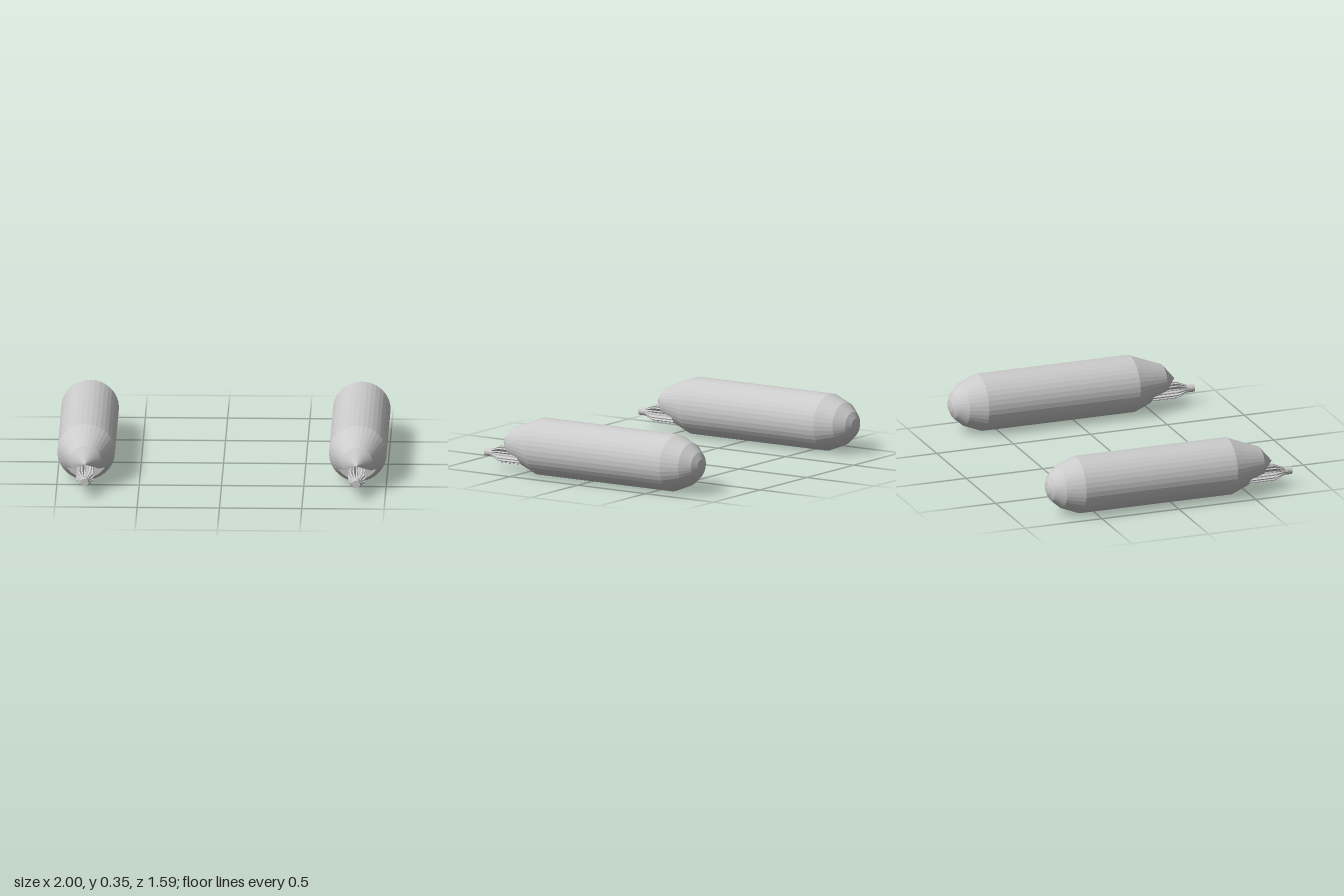
import * as THREE from 'three';

const material = new THREE.MeshStandardMaterial({ color: 0xcccccc, flatShading: true, side: THREE.DoubleSide });
const SEGMENTS = 36;
const NOTCH_Z = 0.49, NOTCH_R = 0.134; // where the nose opening starts
const NOTCH_HALF = Math.PI / 3;        // half angle of the opening

function add(group, name, geometry) {
  const mesh = new THREE.Mesh(geometry, material);
  mesh.name = name;
  group.add(mesh);
  return mesh;
}

// Revolve [radius, z] pairs about z; angle 0 points straight down.
function revolve(profile, segments = SEGMENTS, start = 0, length = Math.PI * 2) {
  const points = profile.map(([r, z]) => new THREE.Vector2(r, z));
  return new THREE.LatheGeometry(points, segments, start, length).rotateX(Math.PI / 2);
}

// Shape drawn as [z, radius] pairs.
function sideShape(points) {
  return new THREE.Shape(points.map(([z, r]) => new THREE.Vector2(z, r)));
}

function createPod() {
  const pod = new THREE.Group();

  // Closed hull with rounded tail
  add(pod, 'hull', revolve([
    [0, -0.796], [0.04, -0.79], [0.08, -0.769], [0.132, -0.71],
    [0.175, -0.6], [0.175, 0.385], [NOTCH_R, NOTCH_Z],
  ]));

  // Nose cone, open in a downward wedge
  add(pod, 'nose', revolve([[NOTCH_R, NOTCH_Z], [0.095, 0.59], [0, 0.67]],
    24, NOTCH_HALF, Math.PI * 2 - 2 * NOTCH_HALF));

  // Walls of the wedge opening
  for (const side of [-1, 1]) {
    const wall = new THREE.ShapeGeometry(sideShape([
      [NOTCH_Z, 0], [0.67, 0], [0.59, 0.095], [NOTCH_Z, NOTCH_R],
    ]));
    wall.rotateY(-Math.PI / 2).rotateZ(side * (Math.PI - NOTCH_HALF));
    add(pod, 'noseOpeningWall', wall);
  }
  const bulkhead = new THREE.CircleGeometry(NOTCH_R, 12, -Math.PI / 2 - NOTCH_HALF, 2 * NOTCH_HALF);
  add(pod, 'noseBulkhead', bulkhead.translate(0, 0, NOTCH_Z));

  // Barrel with radial fins around it
  const gun = new THREE.Group();
  gun.name = 'gun';
  gun.position.y = -0.078;
  add(gun, 'barrel', revolve([[0, NOTCH_Z], [0.024, NOTCH_Z], [0.024, 0.797], [0, 0.797]], 16));
  const finShape = sideShape([
    [NOTCH_Z, 0.01], [0.75, 0.01], [0.75, 0.024], [0.68, 0.053], [NOTCH_Z, 0.053],
  ]);
  const finCount = 16, thickness = 0.008;
  const fin = new THREE.ExtrudeGeometry(finShape, { depth: thickness, bevelEnabled: false });
  fin.translate(0, 0, -thickness / 2).rotateY(-Math.PI / 2);
  for (let i = 0; i < finCount; i++) {
    add(gun, 'barrelFin', fin).rotation.z = (i / finCount) * Math.PI * 2;
  }
  pod.add(gun);
  return pod;
}

export function createModel() {
  const model = new THREE.Group();
  for (const [name, x] of [['leftPod', 0.825], ['rightPod', -0.825]]) {
    const pod = createPod();
    pod.name = name;
    pod.position.set(x, 0.176, 0);
    model.add(pod);
  }
  return model;
}
